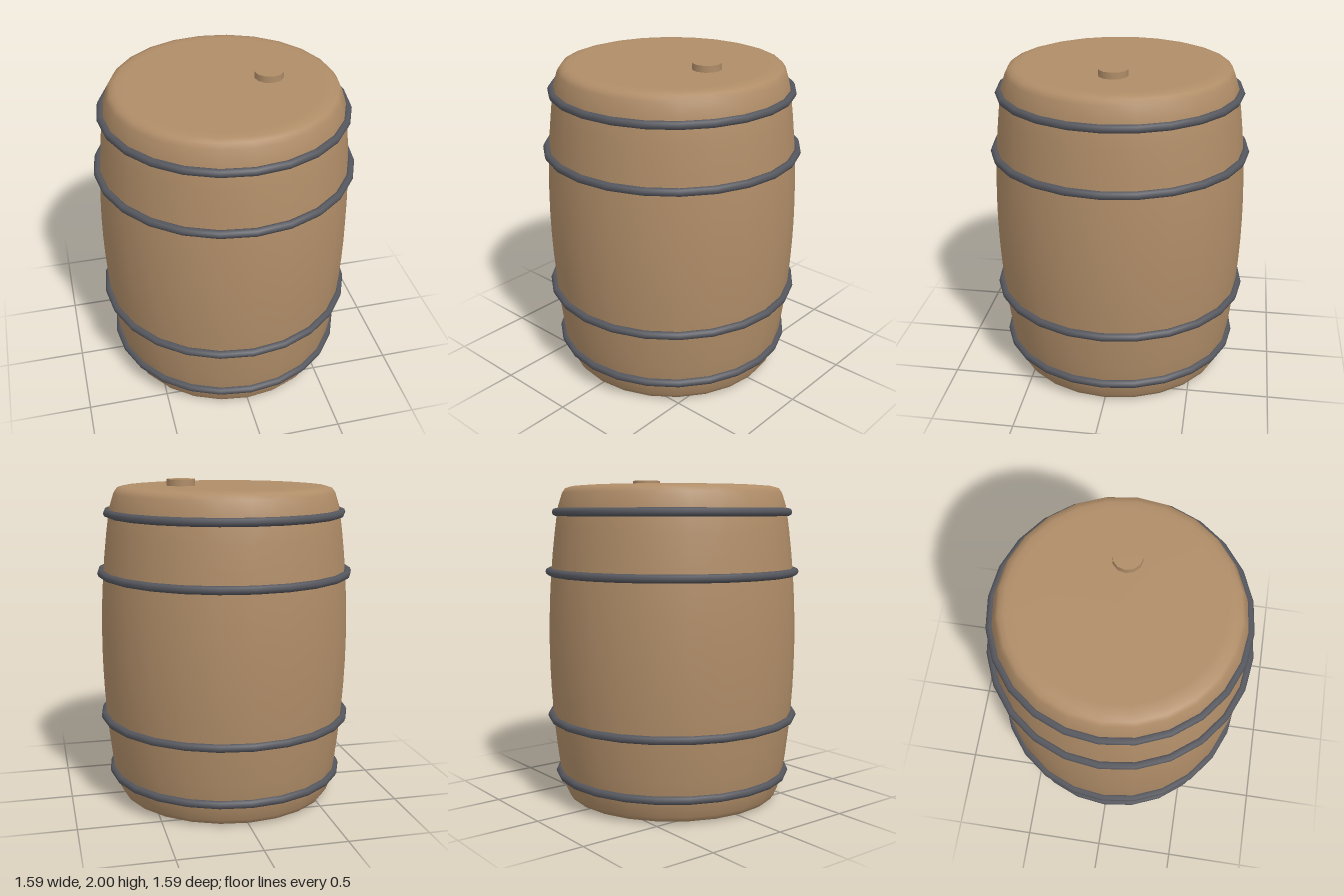
import * as THREE from 'three';

const SIDES = 24;
const MID_Y = 0.98;

// Radius of the bulging staves at a given height
const bulge = (y) => 0.777 - 0.09 * (y - MID_Y) ** 2;

export function createModel() {
  const wood = new THREE.MeshStandardMaterial({ color: 0xb08d68 });
  wood.name = 'wood';
  const iron = new THREE.MeshStandardMaterial({ color: 0x55575e });
  iron.name = 'iron';

  const barrel = new THREE.Group();
  barrel.name = 'barrel';
  const add = (name, geometry, material, x, y) => {
    const mesh = new THREE.Mesh(geometry, material);
    mesh.name = name;
    mesh.position.set(x, y, 0);
    barrel.add(mesh);
  };

  // Body: flat ends, rounded rims and bulging sides
  const rim = [[0, 0], [0.58, 0], [0.63, 0.004], [0.665, 0.015], [0.685, 0.045]];
  const profile = rim.map(([r, y]) => new THREE.Vector2(r, y));
  for (let i = 0; i <= 12; i++) {
    const y = 0.13 + (i / 12) * 1.7;
    profile.push(new THREE.Vector2(bulge(y), y));
  }
  for (const [r, y] of [...rim].reverse()) profile.push(new THREE.Vector2(r, 2 * MID_Y - y));
  add('body', new THREE.LatheGeometry(profile, SIDES), wood, 0, 0);

  // Hoops, mirrored about the middle
  for (const [radius, offset] of [[0.77, 0.455], [0.724, 0.82]]) {
    for (const side of [-1, 1]) {
      const hoop = new THREE.TorusGeometry(radius, 0.025, 8, SIDES).rotateX(Math.PI / 2);
      add(side > 0 ? 'upperHoop' : 'lowerHoop', hoop, iron, 0, MID_Y + side * offset);
    }
  }

  // Bung in the lid
  add('bung', new THREE.CylinderGeometry(0.088, 0.088, 0.06, 12), wood, 0.27, 1.97);

  return barrel;
}
